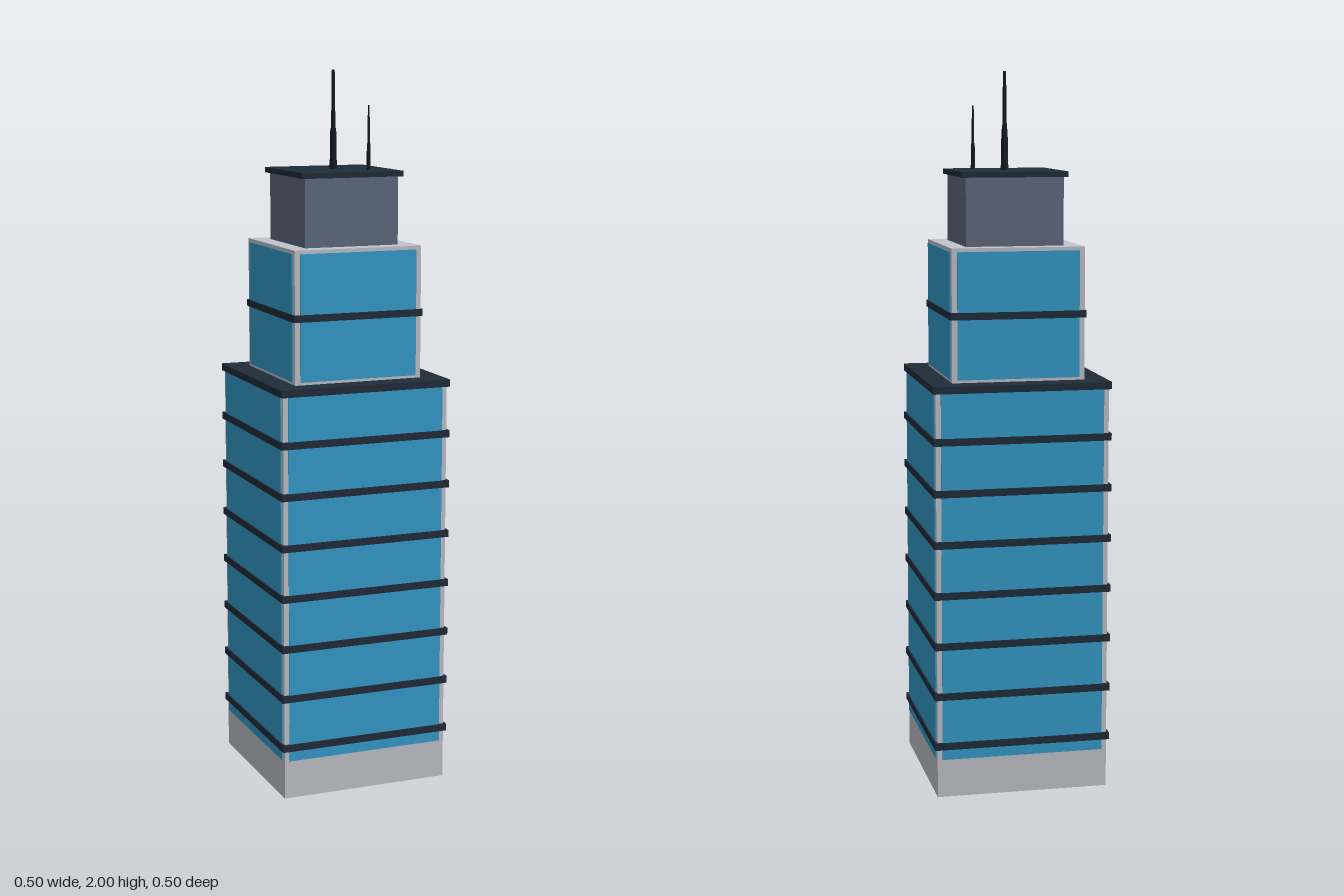
import * as THREE from 'three';

const mat = (name, color) => {
  const m = new THREE.MeshStandardMaterial({ color });
  m.name = name;
  return m;
};

export function createModel() {
  const concrete = mat('light concrete', 0xc0c3ca);
  const glass = mat('blue glass', 0x359bcb);
  const trim = mat('dark trim', 0x202c3a);
  const slate = mat('slate', 0x5f6a80);
  const steel = mat('dark steel', 0x141d26);

  const model = new THREE.Group();
  model.name = 'skyscraper';

  // Square block from y0 to y1
  const block = (name, half, y0, y1, material, parent = model) => {
    const mesh = new THREE.Mesh(new THREE.BoxGeometry(half * 2, y1 - y0, half * 2), material);
    mesh.name = name;
    mesh.position.y = (y0 + y1) / 2;
    parent.add(mesh);
  };

  // One thin glass pane on each of the four sides
  const glazing = (name, half, wall, y0, y1) => {
    const group = new THREE.Group();
    group.name = name;
    const geometry = new THREE.BoxGeometry(half * 2, y1 - y0, 0.006);
    for (let i = 0; i < 4; i++) {
      const angle = (i * Math.PI) / 2;
      const pane = new THREE.Mesh(geometry, glass);
      pane.name = 'glassPane';
      pane.position.set(Math.sin(angle) * wall, (y0 + y1) / 2, Math.cos(angle) * wall);
      pane.rotation.y = angle;
      group.add(pane);
    }
    model.add(group);
  };

  // Lower tower with floor bands
  block('lowerTower', 0.242, 0, 1.145, concrete);
  glazing('lowerGlazing', 0.228, 0.242, 0.108, 1.142);
  for (let i = 0; i < 8; i++) {
    const y = 0.147 + i * 0.1429;
    block('lowerFloorBand', 0.249, y - 0.01, y + 0.01, trim);
  }

  // Upper tower
  block('upperTower', 0.186, 1.157, 1.525, concrete);
  glazing('upperGlazing', 0.171, 0.186, 1.165, 1.515);
  block('upperFloorBand', 0.19, 1.33, 1.35, trim);

  // Penthouse and roof slab
  block('penthouse', 0.137, 1.525, 1.715, slate);
  block('roofSlab', 0.148, 1.713, 1.728, trim);

  // Stepped antenna masts
  const antenna = (name, x, z, r, yStep, yTop) => {
    const group = new THREE.Group();
    group.name = name;
    const section = (part, r0, r1, y0, y1) => {
      const mesh = new THREE.Mesh(new THREE.CylinderGeometry(r1, r0, y1 - y0, 8), steel);
      mesh.name = part;
      mesh.position.y = (y0 + y1) / 2;
      group.add(mesh);
    };
    section('mastBase', r, r * 0.8, 1.726, yStep);
    section('mastTip', r * 0.6, r * 0.4, yStep, yTop);
    group.position.set(x, 0, z);
    model.add(group);
  };
  antenna('mainAntenna', 0, 0, 0.011, 1.84, 2);
  antenna('sideAntenna', 0.075, 0.075, 0.0065, 1.8, 1.905);

  return model;
}
